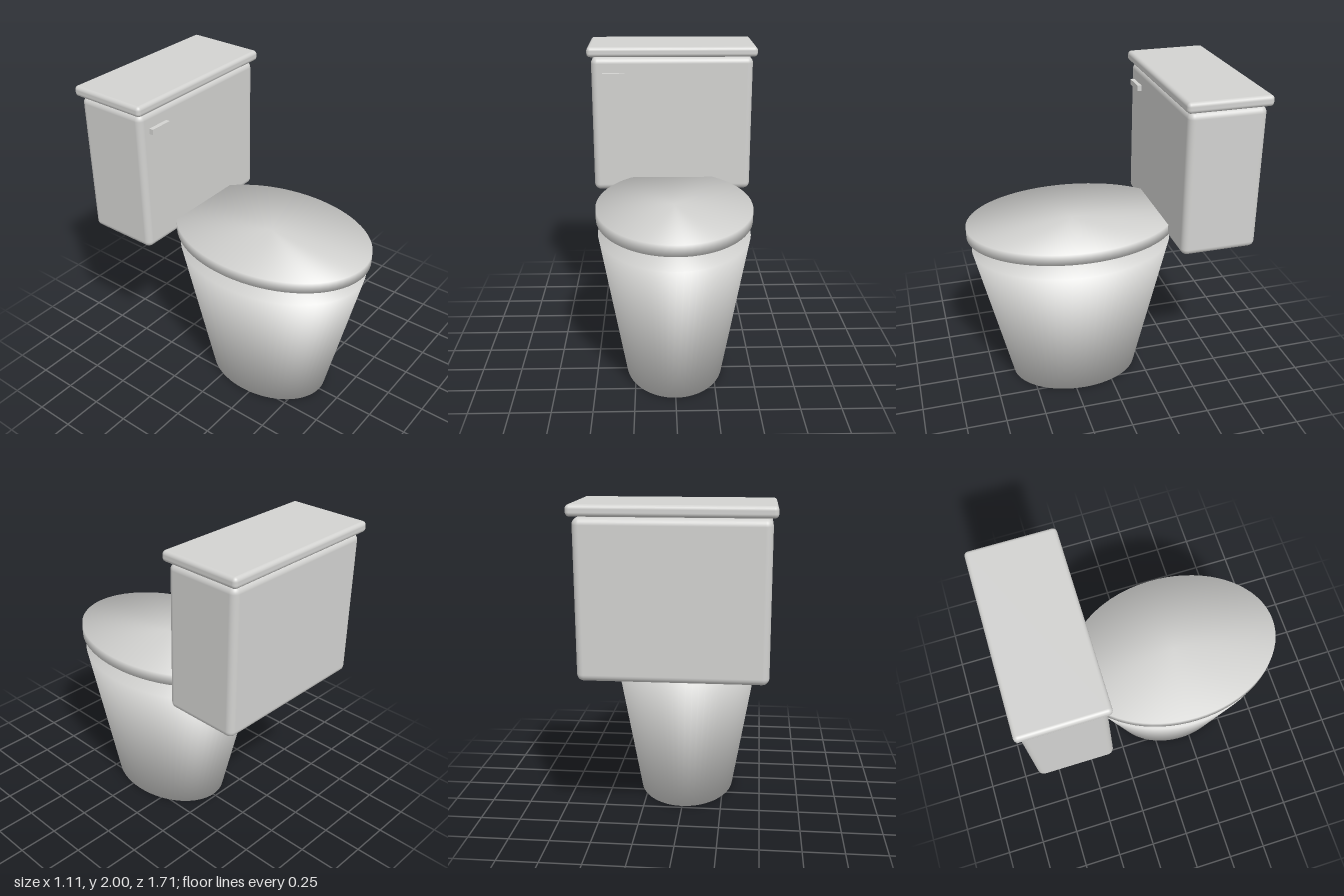
import * as THREE from 'three';
import { RoundedBoxGeometry } from 'three/addons/geometries/RoundedBoxGeometry.js';

export function createModel() {
  const group = new THREE.Group();
  const ceramic = new THREE.MeshStandardMaterial({ color: 0xd2d2d0 });
  ceramic.name = 'ceramic';

  function add(name, geometry, x, y, z) {
    const mesh = new THREE.Mesh(geometry, ceramic);
    mesh.name = name;
    mesh.position.set(x, y, z);
    group.add(mesh);
  }

  // Closed elliptical drum whose shading rolls softly over its rims
  function softDrum(halfX, halfZ, height, bottomRatio) {
    const geo = new THREE.CylinderGeometry(1, bottomRatio, height, 72);
    geo.scale(halfX, 1, halfZ);
    const pos = geo.attributes.position;
    const normal = new THREE.Vector3();
    for (let i = 0; i < pos.count; i++) {
      normal.set(pos.getX(i) / halfX ** 2, 0, pos.getZ(i) / halfZ ** 2);
      if (normal.length() > 1e-6) normal.normalize();
      normal.y = Math.sign(pos.getY(i));
      normal.normalize();
      geo.attributes.normal.setXYZ(i, normal.x, normal.y, normal.z);
    }
    return geo;
  }

  // Tapered bowl and the lid floating above it
  add('bowl', softDrum(0.475, 0.64, 0.95, 0.655), 0, 0.475, 0.19);
  add('seatLid', softDrum(0.485, 0.667, 0.07, 1), 0, 1.085, 0.19);

  // Cistern with its cover and flush lever
  add('tank', new RoundedBoxGeometry(1.06, 0.9, 0.475, 4, 0.04), 0, 1.48, -0.598);
  add('tankCover', new RoundedBoxGeometry(1.11, 0.065, 0.52, 4, 0.024), 0, 1.9675, -0.598);
  add('flushLever', new THREE.BoxGeometry(0.145, 0.035, 0.04), -0.383, 1.815, -0.353);

  return group;
}
